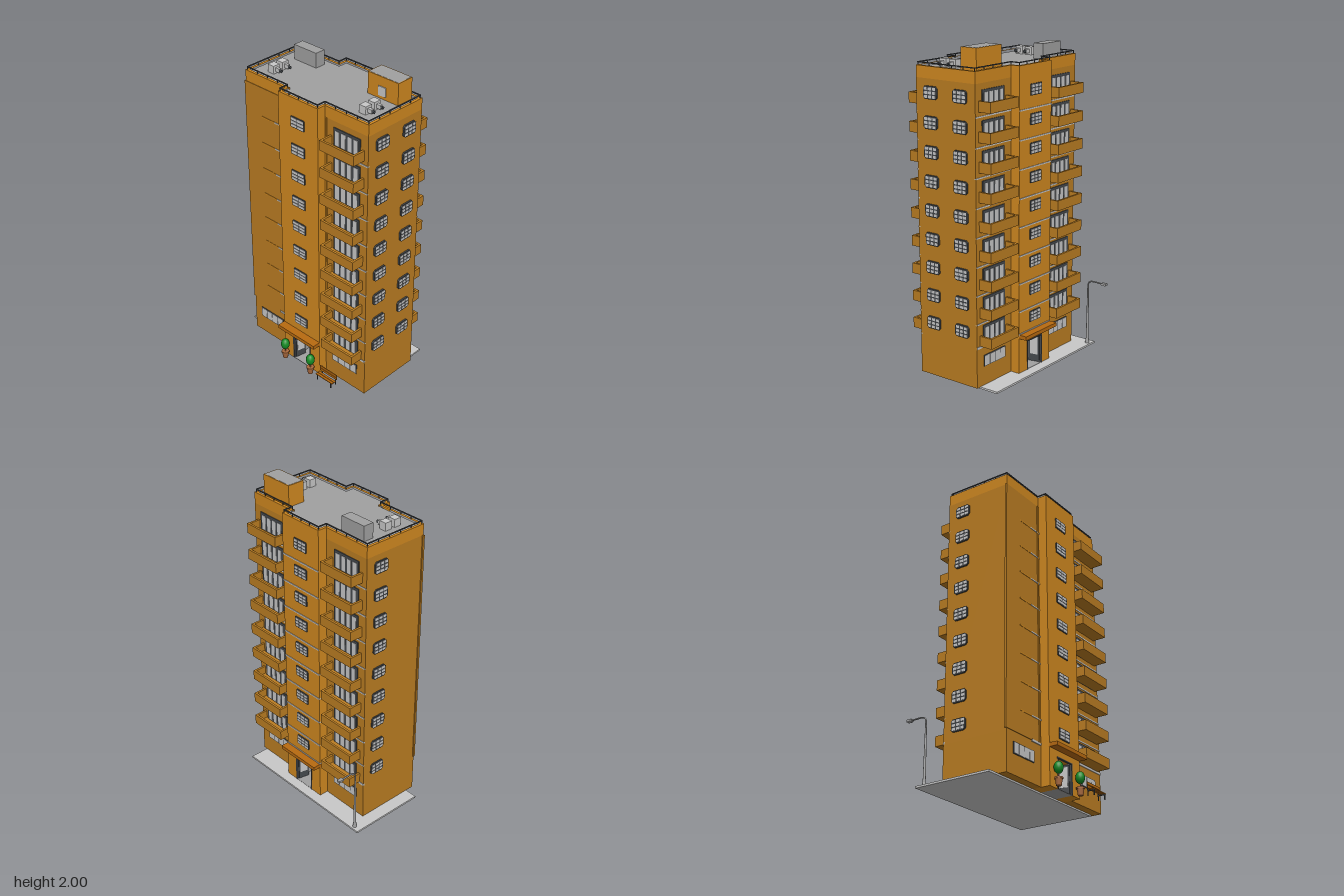
import * as THREE from 'three';

const mat = (name, color, side = THREE.FrontSide) => {
  const m = new THREE.MeshStandardMaterial({ color, side });
  m.name = name;
  return m;
};

export function createModel() {
  const root = new THREE.Group();
  root.name = 'apartmentTower';
  const M = {
    wing: mat('ochreWall', 0xbb7d22),
    centre: mat('brightOrangeWall', 0xd08820),
    trim: mat('rustTrim', 0xb86a10),
    roof: mat('roofGrey', 0xa0a0a0),
    light: mat('paleGrey', 0xc8c8c8),
    dark: mat('darkFrame', 0x45494d),
    green: mat('leafGreen', 0x148a24),
    pot: mat('clay', 0xa8683c),
  };
  const add = (parent, name, geo, m, x = 0, y = 0, z = 0) => {
    const mesh = new THREE.Mesh(geo, m);
    mesh.name = name;
    mesh.position.set(x, y, z);
    parent.add(mesh);
    return mesh;
  };
  // box from its min and max corners
  const box = (parent, name, m, x0, x1, y0, y1, z0, z1) =>
    add(parent, name, new THREE.BoxGeometry(x1 - x0, y1 - y0, z1 - z0), m,
      (x0 + x1) / 2, (y0 + y1) / 2, (z0 + z1) / 2);
  const group = (name, parent = root) => {
    const g = new THREE.Group();
    g.name = name;
    parent.add(g);
    return g;
  };

  const X0 = -0.447, X1 = 0.515, ZB = -0.165, ZF = 0.27;   // wings
  const C0 = -0.118, C1 = 0.192, CB = -0.225, CF = 0.328;  // centre bay
  const CX = 0.036, FLOORS = 9, STEP = 0.173;

  // cross-shaped plan, inset by d
  const planPoints = (d = 0) => [
    [X0 + d, ZB + d], [C0 + d, ZB + d], [C0 + d, CB + d], [C1 - d, CB + d], [C1 - d, ZB + d], [X1 - d, ZB + d],
    [X1 - d, ZF - d], [C1 - d, ZF - d], [C1 - d, CF - d], [C0 + d, CF - d], [C0 + d, ZF - d], [X0 + d, ZF - d],
  ].map(([x, z]) => new THREE.Vector2(x, -z));
  const extrudeUp = (shape, y0, y1) => new THREE.ExtrudeGeometry(shape, { depth: y1 - y0, bevelEnabled: false })
    .rotateX(-Math.PI / 2).translate(0, y0, 0);

  // pavement
  box(root, 'pavement', M.light, -0.53, 0.487, 0, 0.012, -0.29, 0.215);

  // ground floor with an open passage through the centre
  const P0 = CX - 0.075, P1 = CX + 0.075, PT = 0.2;
  const body = group('building');
  box(body, 'groundWingRight', M.wing, X0, C0, 0.01, 0.25, ZB, ZF);
  box(body, 'groundWingLeft', M.wing, C1, X1, 0.01, 0.25, ZB, ZF);
  box(body, 'entranceWallRight', M.centre, C0, P0, 0.01, 0.25, CB, CF);
  box(body, 'entranceWallLeft', M.centre, P1, C1, 0.01, 0.25, CB, CF);
  box(body, 'entranceLintel', M.centre, P0, P1, PT, 0.25, CB, CF);
  box(body, 'passageFloor', M.roof, P0, P1, 0.01, 0.014, CB, CF);
  for (const [x0, x1] of [[P0, P0 + 0.004], [P1 - 0.004, P1]])
    box(body, 'passageLining', M.roof, x0, x1, 0.014, PT, CB + 0.01, CF - 0.01);

  // upper walls
  box(body, 'wingWalls', M.wing, X0, X1, 0.25, 1.81, ZB, ZF);
  box(body, 'centreBay', M.centre, C0, C1, 0.25, 1.81, CB, CF);
  box(body, 'frontPanel', M.wing, X0 - 0.008, C0 - 0.025, 0.26, 1.81, ZF - 0.01, ZF + 0.003);
  for (const x of [C0 - 0.018, C1 + 0.004])
    box(body, 'cornerStrip', M.centre, x, x + 0.01, 0.26, 1.81, ZF, ZF + 0.006);

  // roof, parapet and its railing
  add(body, 'roofDeck', extrudeUp(new THREE.Shape(planPoints(0.01)), 1.81, 1.866), M.roof);
  const ring = new THREE.Shape(planPoints(0));
  ring.holes.push(new THREE.Path(planPoints(0.018)));
  add(body, 'parapet', extrudeUp(ring, 1.81, 1.88), M.centre);
  const railing = group('roofRailing');
  const pts = planPoints(0.009);
  pts.forEach((a, i) => {
    const b = pts[(i + 1) % pts.length];
    const len = a.distanceTo(b), n = Math.max(1, Math.round(len / 0.08));
    const bar = add(railing, 'rail', new THREE.BoxGeometry(len + 0.006, 0.006, 0.006), M.dark,
      (a.x + b.x) / 2, 1.897, -(a.y + b.y) / 2);
    if (Math.abs(a.x - b.x) < 1e-6) bar.rotation.y = Math.PI / 2;
    for (let k = 0; k < n; k++) {
      const p = a.clone().lerp(b, k / n);
      box(railing, 'post', M.dark, p.x - 0.002, p.x + 0.002, 1.88, 1.896, -p.y - 0.002, -p.y + 0.002);
    }
  });

  // window facing +z: chamfered frame with a grid of panes
  const makeWindow = (name, w, h, cols, rows, x, y, z, turn, depth = 0.008, c = 0.01, gap = 0.006) => {
    const g = group(name);
    g.position.set(x, y, z);
    g.rotation.y = turn;
    const a = w / 2, b = h / 2;
    const s = new THREE.Shape([[-a + c, -b], [a - c, -b], [a, -b + c], [a, b - c], [a - c, b], [-a + c, b], [-a, b - c], [-a, -b + c]]
      .map(p => new THREE.Vector2(...p)));
    add(g, 'frame', new THREE.ExtrudeGeometry(s, { depth, bevelEnabled: false }), M.dark);
    const pw = (w - gap * (cols + 1)) / cols, ph = (h - gap * (rows + 1)) / rows;
    for (let i = 0; i < cols; i++) for (let j = 0; j < rows; j++) {
      const px = -a + gap + i * (pw + gap), py = -b + gap + j * (ph + gap);
      box(g, 'pane', M.light, px, px + pw, py, py + ph, depth - 0.001, depth + 0.002);
    }
    return g;
  };

  // balcony tray projecting from wall z by depth in direction s
  const makeBalcony = (x, y, z, s, depth) => {
    const g = group('balcony');
    const w = 0.128, h = 0.063, t = 0.014;
    g.position.set(x, y, z);
    const zs = (a, b) => [Math.min(a * s, b * s), Math.max(a * s, b * s)];
    box(g, 'floor', M.wing, -w, w, 0, 0.012, ...zs(0, depth));
    box(g, 'frontWall', M.wing, -w, w, 0, h, ...zs(depth - t, depth));
    for (const e of [-1, 1])
      box(g, 'endWall', M.wing, e > 0 ? w - t : -w, e > 0 ? w : -w + t, 0, h, ...zs(0, depth));
  };

  // repeated storeys
  const HALF = Math.PI / 2, RX = 0.359, LX = -0.287;
  for (let f = 0; f < FLOORS; f++) {
    const y = 0.267 + f * STEP, wy = 0.347 + f * STEP;
    makeWindow('frontWindow', 0.106, 0.068, 2, 3, CX, wy, CF, 0, 0.005, 0.004, 0.005);
    makeWindow('backWindow', 0.106, 0.068, 3, 3, CX, wy, CB, Math.PI, 0.005, 0.004);
    for (const z of [0.16, -0.058]) makeWindow('leftSideWindow', 0.1, 0.076, 3, 3, X1, wy, z, HALF, 0.01, 0.012, 0.007);
    makeWindow('rightSideWindow', 0.1, 0.076, 3, 3, X0, wy, -0.058, -HALF, 0.008, 0.012, 0.007);
    for (const [x, z, s] of [[RX, ZF, 1], [RX, ZB, -1], [LX, ZB, -1]]) {
      makeBalcony(x, y, z, s, 0.086);
      makeWindow('balconyDoor', 0.2, 0.122, 4, 1, x, y + 0.061, z, s > 0 ? 0 : Math.PI, 0.005, 0.002, 0.016);
    }
    // floor lines
    const sy = f ? 0.4 + (f - 1) * 0.174 : 0.252, sh = f ? 0.008 : 0.014;
    const line = (m, x0, x1, z0, z1) => box(body, 'floorLine', m, x0, x1, sy, sy + sh, z0, z1);
    line(M.light, C1, X1, ZF - 0.01, ZF + 0.003);
    line(M.light, -0.21, C0, ZF - 0.01, ZF + 0.006);
    if (f) line(M.centre, -0.32, -0.21, ZF - 0.01, ZF + 0.005);
    line(M.light, X0, C0, ZB - 0.003, ZB + 0.01);
    line(M.light, C1, X1, ZB - 0.003, ZB + 0.01);
    line(M.light, C0, C1, CB - 0.004, CB + 0.01);
  }

  // ground floor windows
  for (const x of [LX, 0.352]) {
    makeWindow('groundFrontWindow', 0.2, 0.07, 4, 1, x, 0.165, ZF, 0, 0.004, 0.001, 0.004);
    makeWindow('groundBackWindow', 0.2, 0.07, 4, 1, x, 0.165, ZB, Math.PI, 0.004, 0.001, 0.004);
  }

  // canopies, door frames and open door leaves
  for (const [z, s] of [[CF, 1], [CB, -1]]) {
    const e = group('entrance');
    e.position.z = z;
    e.rotation.y = s > 0 ? 0 : Math.PI;
    e.position.x = s > 0 ? 0 : 2 * CX;
    box(e, 'canopy', M.trim, C0, C1, 0.236, 0.26, -0.01, 0.053);
    box(e, 'frameTop', M.dark, P0, P1, PT - 0.006, PT, -0.012, 0.003);
    for (const d of [-1, 1]) {
      const x = CX + d * 0.072;
      box(e, 'doorJamb', M.dark, x - 0.004, x + 0.004, 0.012, PT, -0.012, 0.003);
      const leaf = group('doorLeaf', e);
      leaf.position.set(CX + d * 0.066, 0, -0.012);
      leaf.rotation.y = d * 0.2;
      box(leaf, 'leafPanel', M.dark, -0.003, 0.003, 0.014, PT - 0.008, -0.07, 0);
      box(leaf, 'leafGlass', M.light, -0.004, 0.004, 0.06, PT - 0.02, -0.06, -0.01);
    }
  }

  // rooftop rooms and units
  const roofY = 1.862;
  box(root, 'plantBox', M.roof, -0.365, -0.186, roofY, 1.96, -0.113, -0.043);
  box(root, 'liftRoom', M.centre, 0.24, 0.464, roofY, 2, -0.133, -0.02);
  box(root, 'liftRoomRoof', M.roof, 0.245, 0.459, 1.995, 2.001, -0.128, -0.025);
  box(root, 'liftRoomHatch', M.light, 0.32, 0.375, 1.885, 1.942, -0.021, -0.015);
  for (const x of [-0.329, 0.386]) for (const z of [0.087, 0.157]) {
    const u = group('ventUnit');
    u.position.set(x, roofY, z);
    box(u, 'casing', M.light, -0.024, 0.024, 0, 0.053, -0.024, 0.024);
    box(u, 'duct', M.light, 0.024, 0.053, 0.015, 0.04, -0.009, 0.009);
    add(u, 'outlet', new THREE.CylinderGeometry(0.009, 0.009, 0.014, 10).rotateZ(HALF), M.dark, 0.059, 0.027, 0);
  }

  // potted shrubs
  for (const x of [-0.08, 0.143]) {
    const g = group('pottedShrub');
    g.position.set(x, 0.012, 0.362);
    add(g, 'pot', new THREE.CylinderGeometry(0.022, 0.016, 0.045, 10), M.pot, 0, 0.0225, 0);
    add(g, 'potRim', new THREE.CylinderGeometry(0.025, 0.025, 0.01, 10), M.pot, 0, 0.044, 0);
    add(g, 'stem', new THREE.CylinderGeometry(0.004, 0.004, 0.04, 6), M.pot, 0, 0.06, 0);
    add(g, 'leaves', new THREE.IcosahedronGeometry(0.028, 2).scale(1, 1.35, 1), M.green, 0, 0.106, 0);
  }

  // bench
  const bench = group('bench');
  for (let i = 0; i < 2; i++) {
    box(bench, 'seatSlat', M.trim, 0.225, 0.365, 0.07, 0.076, 0.364 + i * 0.018, 0.379 + i * 0.018);
    box(bench, 'backSlat', M.trim, 0.225, 0.365, 0.082 + i * 0.02, 0.098 + i * 0.02, 0.354, 0.359);
  }
  for (const x of [0.238, 0.352]) {
    box(bench, 'legFront', M.dark, x - 0.003, x + 0.003, 0.036, 0.07, 0.392, 0.398);
    box(bench, 'legBack', M.dark, x - 0.003, x + 0.003, 0.036, 0.115, 0.35, 0.355);
    box(bench, 'seatBar', M.dark, x - 0.003, x + 0.003, 0.064, 0.07, 0.352, 0.398);
  }

  // street lamp
  const lamp = group('streetLamp');
  lamp.position.set(-0.482, 0.012, -0.266);
  add(lamp, 'base', new THREE.CylinderGeometry(0.01, 0.013, 0.03, 12), M.roof, 0, 0.015, 0);
  add(lamp, 'pole', new THREE.CylinderGeometry(0.005, 0.009, 0.4, 12), M.roof, 0, 0.2, 0);
  const arm = new THREE.CatmullRomCurve3([[0, 0.39, 0], [0, 0.408, -0.005], [0, 0.42, -0.022], [0, 0.421, -0.11]]
    .map(p => new THREE.Vector3(...p)));
  add(lamp, 'arm', new THREE.TubeGeometry(arm, 16, 0.005, 8), M.roof);
  box(lamp, 'head', M.roof, -0.012, 0.012, 0.415, 0.428, -0.138, -0.103);
  box(lamp, 'lens', M.light, -0.009, 0.009, 0.412, 0.416, -0.134, -0.108);

  return root;
}
